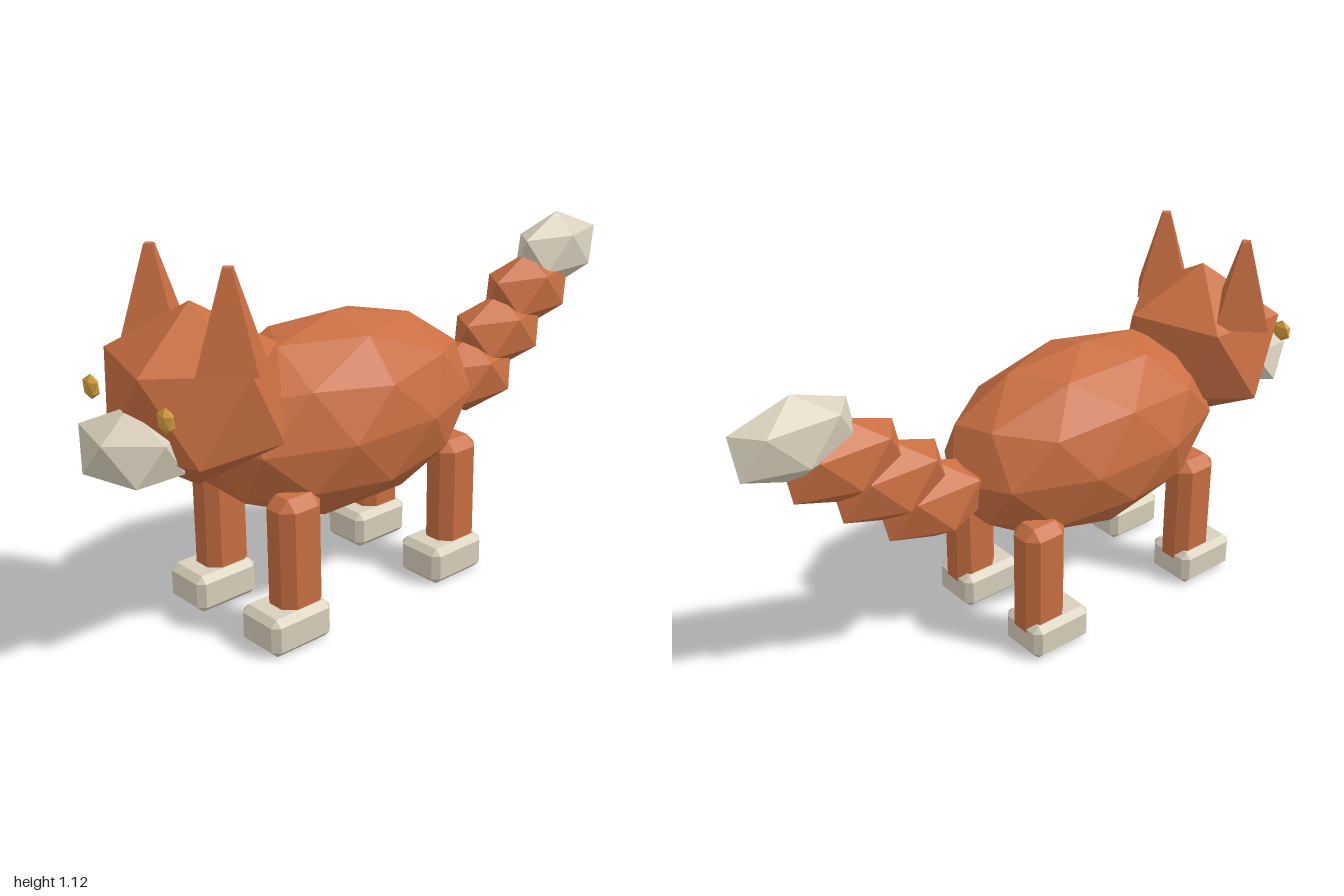
import * as THREE from 'three';
import { ConvexGeometry } from 'three/addons/geometries/ConvexGeometry.js';

const material = (color) => new THREE.MeshStandardMaterial({ color, flatShading: true });

export function createModel() {
  const model = new THREE.Group();
  const fur = material(0xc96f42);
  const cream = material(0xd8d0bc);
  const amber = material(0xd9a040);

  const add = (name, geometry, mat, x, y, z) => {
    const mesh = new THREE.Mesh(geometry, mat);
    mesh.name = name;
    mesh.position.set(x, y, z);
    model.add(mesh);
    return mesh;
  };

  // Faceted ball standing on one vertex, stretched to an ellipsoid
  const ball = (rx, ry, rz, detail = 0) =>
    new THREE.IcosahedronGeometry(1, detail)
      .rotateZ(-Math.atan(2 / (1 + Math.sqrt(5))))
      .scale(rx, ry, rz);

  // Box with every edge and corner cut off by c
  const chamferBox = (w, h, d, c) => {
    const points = [];
    for (const sx of [-1, 1]) for (const sy of [-1, 1]) for (const sz of [-1, 1]) {
      for (let axis = 0; axis < 3; axis++) {
        const half = [w, h, d].map((s, i) => s / 2 - (i === axis ? 0 : c));
        points.push(new THREE.Vector3(sx * half[0], sy * half[1], sz * half[2]));
      }
    }
    return new ConvexGeometry(points);
  };

  // Trunk, head and muzzle
  add('body', ball(0.28, 0.304, 0.503, 1), fur, 0, 0.568, 0.168);
  add('head', ball(0.29, 0.263, 0.265), fur, 0, 0.736, 0.675);
  add('snout', ball(0.182, 0.118, 0.141), cream, 0, 0.638, 0.88);

  // Parts on both sides
  for (const side of [1, -1]) {
    const label = side > 0 ? 'left' : 'right';
    const x = side * 0.174;
    add(label + 'Ear', new THREE.CylinderGeometry(0.018, 0.115, 0.265, 4), fur, x, 0.989, 0.675);
    add(label + 'Eye', ball(0.036, 0.036, 0.018), amber, x, 0.765, 0.883);

    // Legs with paws reaching forward
    for (const [end, z] of [['Front', 0.483], ['Rear', -0.146]]) {
      add(label + end + 'Leg', chamferBox(0.118, 0.39, 0.148, 0.032), fur, x, 0.25, z);
      add(label + end + 'Paw', chamferBox(0.165, 0.117, 0.214, 0.02), cream, x, 0.0605, z + 0.034);
    }
  }

  // Tail rising backwards, ending in a pale tip
  [0.118, 0.108, 0.097, 0.084].forEach((rx, i) => {
    const tip = i === 3;
    add(tip ? 'tailTip' : 'tailSegment' + (i + 1), ball(rx, 0.129, 0.207),
      tip ? cream : fur, 0, 0.54 + i * 0.1155, -0.4 - i * 0.141);
  });

  return model;
}
